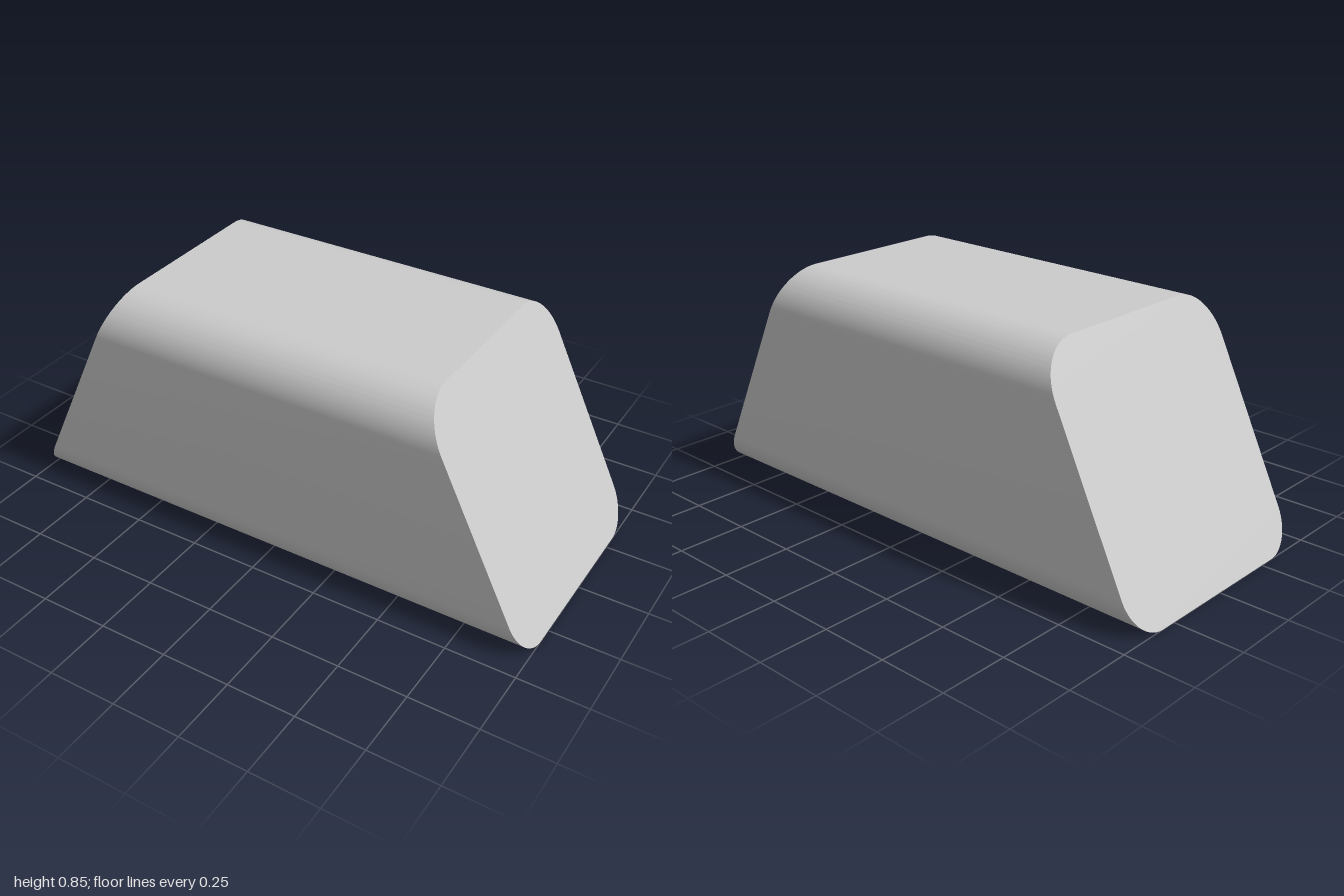
import * as THREE from 'three';
import { toCreasedNormals } from 'three/addons/utils/BufferGeometryUtils.js';

const HEIGHT = 0.845, HALF_DEPTH = 0.438;
const BOTTOM_HALF = 1, TOP_HALF = 0.592;
const R_TOP = 0.16, R_BOTTOM = 0.13;

// Rounded-square cross-section, larger radius on the upper corners
function crossSection() {
  const s = new THREE.Shape();
  const w = HALF_DEPTH, h = HEIGHT, q = Math.PI / 2;
  s.moveTo(-w + R_BOTTOM, 0);
  s.absarc(w - R_BOTTOM, R_BOTTOM, R_BOTTOM, -q, 0);
  s.absarc(w - R_TOP, h - R_TOP, R_TOP, 0, q);
  s.absarc(-w + R_TOP, h - R_TOP, R_TOP, q, 2 * q);
  s.absarc(-w + R_BOTTOM, R_BOTTOM, R_BOTTOM, 2 * q, 3 * q);
  return s;
}

export function createModel() {
  const group = new THREE.Group();
  group.name = 'taperedBlock';

  // Bar running along x
  const geo = new THREE.ExtrudeGeometry(crossSection(), {
    depth: 2, bevelEnabled: false, curveSegments: 16,
  });
  geo.translate(0, 0, -1);
  geo.rotateY(Math.PI / 2);

  // Slant both ends inward towards the top
  const p = geo.attributes.position;
  for (let i = 0; i < p.count; i++) {
    const half = THREE.MathUtils.lerp(BOTTOM_HALF, TOP_HALF, p.getY(i) / HEIGHT);
    p.setX(i, Math.sign(p.getX(i)) * half);
  }

  const body = new THREE.Mesh(
    toCreasedNormals(geo, Math.PI / 6),
    new THREE.MeshStandardMaterial({ color: 0xcccccc }),
  );
  body.name = 'body';
  group.add(body);
  return group;
}
